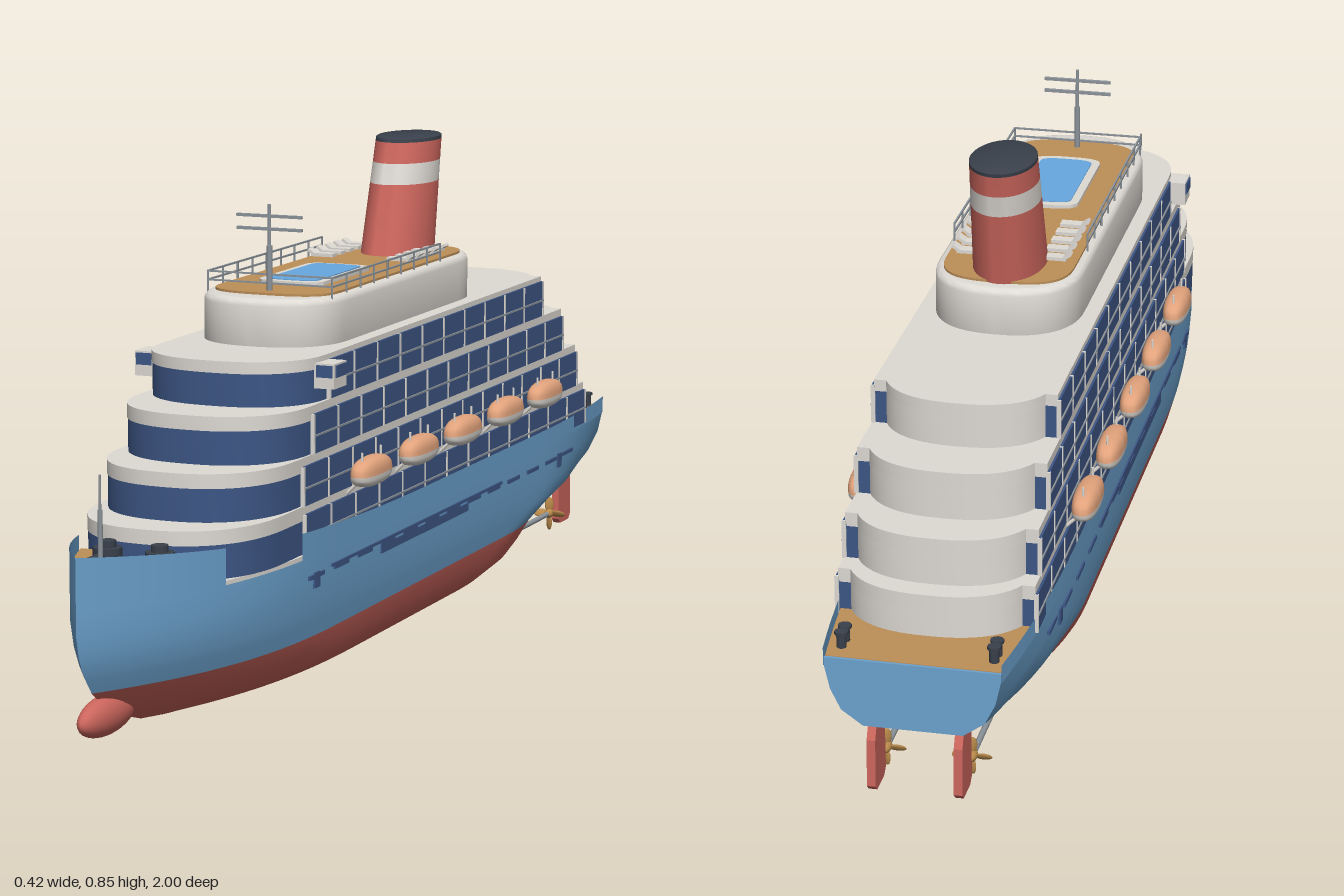
import * as THREE from 'three';
import { toCreasedNormals } from 'three/addons/utils/BufferGeometryUtils.js';

const paint = (name, color, side = THREE.FrontSide) => {
  const m = new THREE.MeshStandardMaterial({ color, side });
  m.name = name;
  return m;
};

export function createModel() {
  const ship = new THREE.Group();
  ship.name = 'cruiseShip';
  const blue = paint('hullBlue', 0x6ca2ce, THREE.DoubleSide);
  const red = paint('red', 0xcc665d, THREE.DoubleSide);
  const white = paint('warmWhite', 0xdedad4);
  const navy = paint('navyGlass', 0x3d5685);
  const wood = paint('teakDeck', 0xbd8f58);
  const orange = paint('lifeboatOrange', 0xe2a37c);
  const dark = paint('darkGrey', 0x3a414c);
  const metal = paint('metalGrey', 0x8c949b);
  const water = paint('poolWater', 0x68a8e0);
  const bronze = paint('bronze', 0xb98a4a);

  const add = (name, geo, mat, x = 0, y = 0, z = 0, parent = ship) => {
    const m = new THREE.Mesh(geo, mat);
    m.name = name;
    m.position.set(x, y, z);
    parent.add(m);
    return m;
  };
  const box = (name, w, h, d, mat, x, y, z, parent) =>
    add(name, new THREE.BoxGeometry(w, h, d), mat, x, y, z, parent);
  const rod = (name, r, h, mat, x, y, z, parent) =>
    add(name, new THREE.CylinderGeometry(r, r, h, 10), mat, x, y, z, parent);

  // Surface through rows of points
  const skin = (rows) => {
    const n = rows[0].length, idx = [];
    for (let r = 0; r < rows.length - 1; r++)
      for (let c = 0; c < n - 1; c++) {
        const a = r * n + c, d = a + n;
        idx.push(a, a + 1, d + 1, a, d + 1, d);
      }
    const g = new THREE.BufferGeometry();
    g.setAttribute('position', new THREE.Float32BufferAttribute(rows.flat(2), 3));
    g.setIndex(idx);
    return toCreasedNormals(g, 0.7);
  };

  // Hull lines: height, stem z, stern z, half beam, transom half width
  const lines = [
    [0, 0.6, -0.6, 0, 0], [0, 0.62, -0.62, 0.05, 0], [0.008, 0.7, -0.67, 0.09, 0],
    [0.02, 0.78, -0.73, 0.118, 0], [0.045, 0.86, -0.79, 0.142, 0], [0.07, 0.91, -0.83, 0.153, 0],
    [0.1, 0.95, -0.88, 0.16, 0], [0.125, 0.97, -0.97, 0.164, 0.02], [0.14, 0.98, -1, 0.166, 0.08],
    [0.165, 0.992, -1, 0.168, 0.115], [0.2, 1, -1, 0.17, 0.132], [0.24, 1, -1, 0.17, 0.141],
    [0.255, 1, -1, 0.17, 0.142],
  ];
  const beam = ([, zs, ze, w, t], z) => {
    const bow = 1 - (1 - Math.min((zs - z) / 0.6, 1)) ** 2.5;
    const k = w ? t / w : 0;
    const aft = k + (1 - k) * (1 - (1 - Math.min((z - ze) / 0.45, 1)) ** 2.2);
    return w * bow * aft;
  };
  const top = lines[12];
  const deckBeam = (z) => beam(top, z);
  const waterline = (l) => {
    const half = [];
    for (let i = 0; i <= 56; i++) {
      const z = l[1] + (l[2] - l[1]) * (0.5 - 0.5 * Math.cos(Math.PI * i / 56));
      half.push([beam(l, z), l[0], z]);
    }
    return [...half, ...half.slice().reverse().map(([x, y, z]) => [-x, y, z])];
  };
  add('lowerHull', skin(lines.slice(0, 7).map(waterline)), red);
  add('upperHull', skin(lines.slice(6, 12).map(waterline)), blue);
  box('transomTop', 0.282, 0.014, 0.006, blue, 0, 0.247, -0.997);

  // Bulwarks, with an open notch beside the front of the cabins
  const sheer = (z) => 0.27 + 0.055 * Math.max(0, z) ** 2;
  for (const [z0, z1] of [[1, 0.735], [0.52, -1]])
    for (const s of [1, -1]) {
      const rows = [[], []];
      for (let i = 0; i <= 40; i++) {
        const z = z0 + (z1 - z0) * i / 40, x = s * deckBeam(z);
        rows[0].push([x, 0.239, z]);
        rows[1].push([x, sheer(z), z]);
      }
      if (s < 0) rows.reverse();
      add('bulwark', skin(rows), blue);
    }

  // Flat slab from an outline of [x, z] points
  const slab = (pts, h, bevel = 0) => {
    const g = new THREE.ExtrudeGeometry(new THREE.Shape(pts.map(([x, z]) => new THREE.Vector2(x, -z))), {
      depth: h - bevel, bevelEnabled: bevel > 0, bevelThickness: bevel, bevelSize: bevel,
      bevelOffset: -bevel, bevelSegments: 3,
    });
    g.rotateX(-Math.PI / 2);
    return toCreasedNormals(g, 0.6);
  };
  const hullPlan = (zf, zb) => {
    const p = [];
    for (let i = 0; i <= 30; i++) {
      const z = zf + (zb - zf) * i / 30;
      p.push([Math.max(deckBeam(z) - 0.003, 0.001), z]);
    }
    return [...p, ...p.slice().reverse().map(([x, z]) => [-x, z])];
  };
  add('bowDeck', slab(hullPlan(0.992, 0.735), 0.04), wood, 0, 0.238, 0);
  add('mainDeck', slab(hullPlan(0.74, -0.7), 0.01), white, 0, 0.236, 0);
  add('sternDeck', slab(hullPlan(-0.7, -0.995), 0.017), wood, 0, 0.238, 0);

  // Cabin outline with rounded or flat ends
  const plan = (w, zf, zb, nose, tail, n = 2.4) => {
    const end = (z, len, dir) => {
      if (!len) return [[w * dir, z], [-w * dir, z]];
      const p = [];
      for (let i = 0; i <= 28; i++) {
        const a = Math.PI * i / 28, c = Math.cos(a);
        p.push([dir * w * Math.sign(c) * Math.abs(c) ** (2 / n),
          z + dir * len * (Math.abs(Math.sin(a)) ** (2 / n) - 1)]);
      }
      return p;
    };
    return [...end(zf, nose, 1), ...end(zb, tail, -1)].reverse();
  };

  // Four cabin tiers: glass front and sides, white stern, overhanging roof
  const tiers = [
    [0.246, 0.77, -0.9, 0.16, 0.2], [0.325, 0.695, -0.86, 0.157, 0.18],
    [0.405, 0.615, -0.785, 0.155, 0.16], [0.485, 0.52, -0.685, 0.151, 0.14],
  ];
  tiers.forEach(([y, zf, zb, w, nose], i) => {
    const zn = zb + 0.065, h = i === 3 ? 0.055 : 0.056;
    const roofH = i === 3 ? 0.02 : 0.024;
    add('cabinGlass', slab(plan(w - 0.001, zf - 0.001, zn, nose, 0), h), navy, 0, y, 0);
    add('cabinStern', slab(plan(w - 0.008, zn + 0.02, zb, 0, 0.13), h), white, 0, y, 0);
    add('tierRoof', slab(plan(w, zf, zn, nose, 0), roofH), white, 0, y + h, 0);
    add('tierRoofStern', slab(plan(w - 0.008, zn, zb, 0, 0.13), roofH), white, 0, y + h, 0);
    // Balconies
    const z0 = Math.min(zf - nose, 0.5), len = z0 - zn;
    for (const s of [1, -1]) {
      box('balconyGlass', 0.006, 0.066, len, navy, s * (w + 0.001), y + 0.033, zn + len / 2);
      box('balconyRail', 0.003, 0.003, len, metal, s * (w + 0.005), y + 0.03, zn + len / 2);
      const count = Math.round(len / 0.1);
      for (let k = 0; k <= count; k++)
        box('balconyDivider', 0.007, 0.066, 0.005, white, s * (w + 0.002), y + 0.033, zn + len * k / count);
    }
  });

  // Top house, sun deck and pool
  add('topHouse', slab(plan(0.125, 0.36, -0.4, 0.13, 0.13), 0.08, 0.012), white, 0, 0.56, 0);
  add('sunDeck', slab(plan(0.11, 0.31, -0.37, 0.08, 0.1, 3), 0.006), wood, 0, 0.638, 0);
  add('poolRim', slab(plan(0.06, 0.21, 0.03 - 0.06, 0.03, 0.03, 3), 0.01), white, 0, 0.64, 0);
  add('poolWater', slab(plan(0.046, 0.195, -0.015, 0.02, 0.02, 3), 0.003), water, 0, 0.6485, 0);
  for (const s of [1, -1])
    for (let i = 0; i < 5; i++) {
      const z = -0.115 - i * 0.038;
      box('loungerSeat', 0.042, 0.006, 0.02, white, s * 0.073, 0.652, z);
      const back = box('loungerBack', 0.016, 0.005, 0.02, white, s * 0.094, 0.656, z);
      back.rotation.z = s * 0.6;
    }
  for (const y of [0.656, 0.671]) {
    for (const s of [1, -1]) box('deckRail', 0.003, 0.003, 0.48, metal, s * 0.115, y, 0.04);
    box('deckRail', 0.23, 0.003, 0.003, metal, 0, y, 0.28);
  }
  for (const s of [1, -1])
    for (let i = 0; i <= 8; i++) rod('railPost', 0.0018, 0.04, metal, s * 0.115, 0.652, 0.28 - i * 0.06);

  // Masts
  rod('radarMast', 0.005, 0.08, metal, 0, 0.68, 0.28);
  rod('radarMastTip', 0.003, 0.08, metal, 0, 0.75, 0.28);
  for (const y of [0.748, 0.77]) box('radarArm', 0.12, 0.005, 0.006, metal, 0, y, 0.28);
  rod('bowMast', 0.004, 0.11, metal, 0, 0.33, 0.915);
  rod('bowMastTip', 0.002, 0.06, metal, 0, 0.41, 0.915);

  // Raked oval funnel in coloured bands
  const ring = (y, shrink = 1) => {
    const t = (y - 0.64) / 0.21, p = [];
    for (let i = 0; i <= 40; i++) {
      const a = 2 * Math.PI * i / 40;
      p.push([Math.sin(a) * (0.061 - 0.006 * t) * shrink, y,
        -0.28 - 0.053 * t + Math.cos(a) * (0.095 - 0.013 * t) * shrink]);
    }
    return p;
  };
  // columns run front, left, back, right: counter-clockwise from above
  const band = (name, mat, ...r) => add(name, skin(r), mat);
  band('funnelBase', red, ring(0.638), ring(0.768));
  band('funnelBand', white, ring(0.768), ring(0.805));
  band('funnelUpper', red, ring(0.805), ring(0.842));
  band('funnelCap', dark, ring(0.842), ring(0.848), ring(0.85, 0.95), ring(0.85, 0));

  // Lifeboats on davits
  for (const s of [1, -1])
    for (const z of [0.28, 0.07, -0.135, -0.345, -0.55]) {
      const boat = new THREE.Group();
      boat.name = 'lifeboat';
      boat.position.set(s * 0.187, 0.347, z);
      ship.add(boat);
      const shell = (a, hgt) => {
        const g = new THREE.SphereGeometry(1, 20, 8, 0, Math.PI * 2, a, Math.PI / 2);
        const p = g.attributes.position;
        // squarer ends and sides
        for (let i = 0; i < p.count; i++) {
          const q = (v, e) => Math.sign(v) * Math.abs(v) ** e;
          p.setXYZ(i, q(p.getX(i), 0.75) * 0.022, q(p.getY(i), 0.8) * hgt, q(p.getZ(i), 0.8) * 0.066);
        }
        g.computeVertexNormals();
        return g;
      };
      add('boatCanopy', shell(0, 0.028), orange, 0, 0, 0, boat);
      add('boatHull', shell(Math.PI / 2, 0.022), white, 0, 0, 0, boat);
      for (const k of [-0.04, 0.04]) {
        rod('davitHook', 0.002, 0.03, white, 0, 0.024, k, boat);
        const arm = rod('davitArm', 0.003, 0.05, white, -s * 0.024, -0.028, k, boat);
        arm.rotation.z = -s * 0.8;
      }
    }

  for (const s of [1, -1]) {
    // Bridge wings
    box('bridgeWing', 0.04, 0.042, 0.05, white, s * 0.162, 0.53, 0.4);
    box('bridgeWindow', 0.028, 0.02, 0.004, navy, s * 0.165, 0.538, 0.426);
    box('bridgeWindow', 0.004, 0.02, 0.04, navy, s * 0.1825, 0.538, 0.4);

    // Hull window strips
    box('promenadeStrip', 0.006, 0.014, 0.4, navy, s * 0.17, 0.197, 0);
    box('promenadeStrip', 0.006, 0.005, 0.78, navy, s * 0.17, 0.211, 0.02);
    for (let i = 0; i < 13; i++) {
      const z = 0.47 - i * 0.1;
      box('hullPort', 0.006, 0.007, 0.06, navy, s * beam(lines[10], z), 0.206, z);
    }
    box('shellDoor', 0.006, 0.026, 0.02, navy, s * beam(lines[10], 0.47), 0.199, 0.47);
    box('shellDoor', 0.006, 0.026, 0.02, navy, s * beam(lines[10], -0.68), 0.199, -0.68);

    // Winches and bollards
    const winch = rod('winch', 0.024, 0.022, dark, s * 0.046, 0.289, 0.8);
    winch.scale.set(1, 1, 1);
    rod('winchHead', 0.014, 0.012, dark, s * 0.046, 0.305, 0.8);
    box('chainStopper', 0.014, 0.014, 0.034, dark, s * 0.048, 0.285, 0.84);
    for (const z of [-0.94, -0.962]) {
      rod('bollard', 0.008, 0.024, dark, s * 0.122, 0.267, z);
      rod('bollardCap', 0.011, 0.005, dark, s * 0.122, 0.28, z);
    }

    // Rudder, shaft and propeller
    const blade = new THREE.Shape([[-0.93, 0.135], [-0.928, 0.03], [-0.94, 0.02], [-0.985, 0.02],
      [-0.995, 0.03], [-0.992, 0.11], [-0.98, 0.135]].map(([z, y]) => new THREE.Vector2(-z, y)));
    const rudder = new THREE.ExtrudeGeometry(blade, { depth: 0.014, bevelEnabled: false });
    rudder.translate(0, 0, -0.007).rotateY(Math.PI / 2);
    add('rudder', rudder, red, s * 0.07, 0, 0);
    const shaft = rod('propellerShaft', 0.005, 0.17, metal, s * 0.07, 0.047, -0.81);
    shaft.rotation.x = Math.PI / 2;
    const prop = new THREE.Group();
    prop.name = 'propeller';
    prop.position.set(s * 0.07, 0.047, -0.895);
    ship.add(prop);
    const hub = add('propellerHub', new THREE.SphereGeometry(0.009, 12, 8), bronze, 0, 0, 0, prop);
    hub.scale.z = 1.8;
    for (let i = 0; i < 4; i++) {
      const a = i * Math.PI / 2;
      const b = add('propellerBlade', new THREE.SphereGeometry(1, 10, 8), bronze,
        -Math.sin(a) * 0.018, Math.cos(a) * 0.018, 0, prop);
      b.scale.set(0.009, 0.015, 0.003);
      b.rotation.set(0, 0.6, a, 'ZYX');
    }
  }

  // Bulbous bow
  const bulb = add('bulbousBow', new THREE.SphereGeometry(1, 24, 16), red, 0, 0.056, 0.9);
  bulb.scale.set(0.025, 0.033, 0.09);
  return ship;
}
